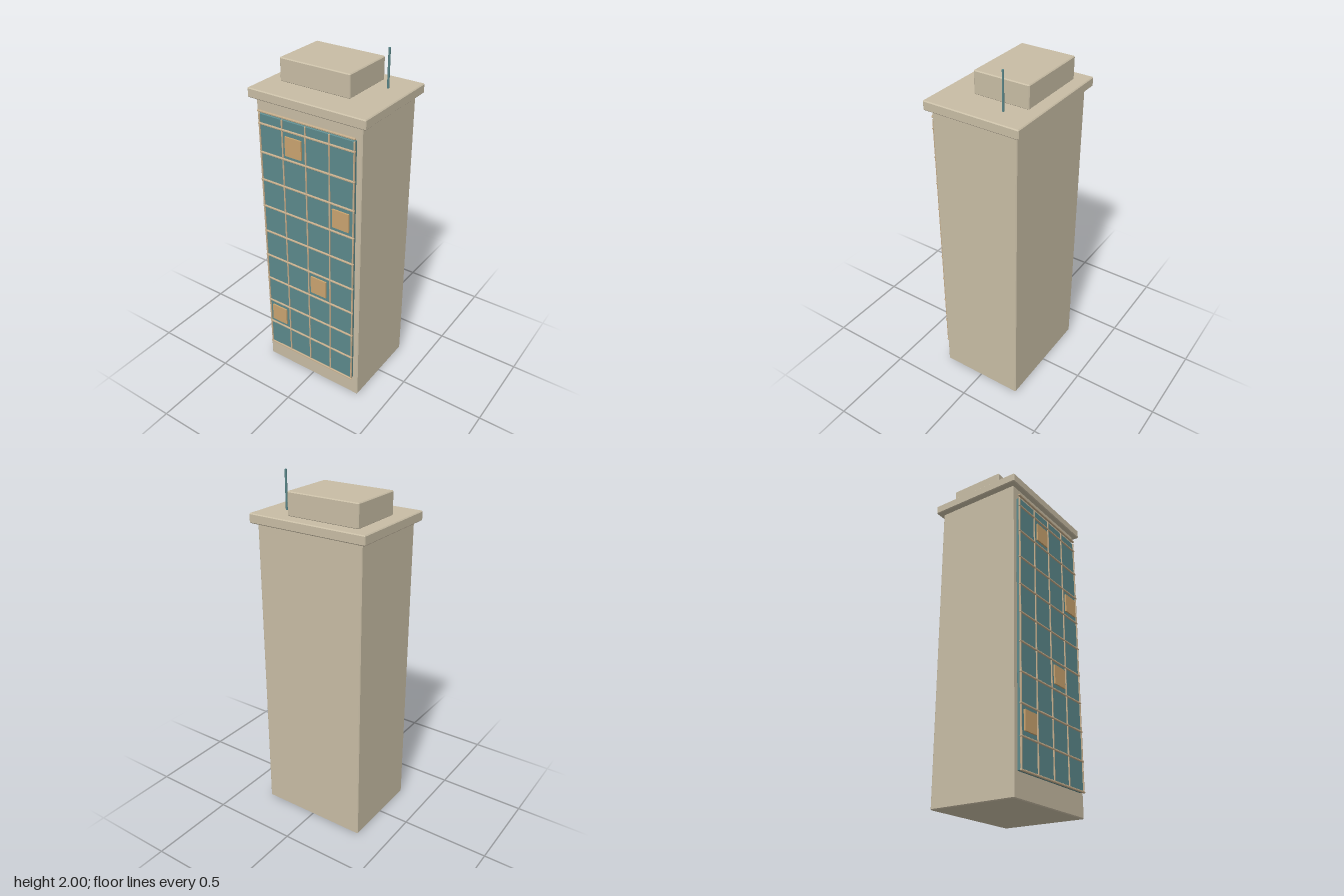
import * as THREE from 'three';
import { ConvexGeometry } from 'three/addons/geometries/ConvexGeometry.js';

function material(name, color) {
  const m = new THREE.MeshStandardMaterial({ color });
  m.name = name;
  return m;
}

// Box between two corners with a small chamfer on every edge
function chamferBox([x0, y0, z0], [x1, y1, z1], c) {
  const half = [(x1 - x0) / 2, (y1 - y0) / 2, (z1 - z0) / 2];
  const points = [];
  for (const sx of [-1, 1]) for (const sy of [-1, 1]) for (const sz of [-1, 1]) {
    for (let axis = 0; axis < 3; axis++) {
      const p = half.map((h, i) => (i === axis ? h : h - c));
      points.push(new THREE.Vector3(sx * p[0], sy * p[1], sz * p[2]));
    }
  }
  return new ConvexGeometry(points).translate((x0 + x1) / 2, (y0 + y1) / 2, (z0 + z1) / 2);
}

export function createModel() {
  const stone = material('stone', 0xc7bca4);
  const glass = material('teal glass', 0x5b888b);
  const frame = material('frame tan', 0xc6ae8c);
  const lit = material('lit window', 0xc9a36f);

  const model = new THREE.Group();
  model.name = 'officeTower';
  const add = (name, geometry, mat, parent = model) => {
    const mesh = new THREE.Mesh(geometry, mat);
    mesh.name = name;
    parent.add(mesh);
    return mesh;
  };

  // Main masses
  add('towerBody', chamferBox([-0.322, 0, -0.253], [0.322, 1.738, 0.248], 0.005), stone);
  add('roofSlab', chamferBox([-0.355, 1.737, -0.282], [0.355, 1.79, 0.276], 0.005), stone);
  add('roofHouse', chamferBox([-0.273, 1.788, -0.212], [0.157, 1.916, 0.11], 0.005), stone);

  // Roof mast
  const mast = add('antenna', new THREE.CylinderGeometry(0.006, 0.006, 0.212, 6), glass);
  mast.position.set(0.235, 1.894, -0.118);

  // Glass front
  const facade = new THREE.Group();
  facade.name = 'glassFacade';
  model.add(facade);
  add('glassPanel', chamferBox([-0.292, 0.13, 0.246], [0.292, 1.664, 0.268], 0.003), glass, facade);

  // Horizontal bars at each floor, with one extra at the head
  const heights = Array.from({ length: 10 }, (_, i) => 0.132 + i * 0.1642);
  heights.push(1.678);
  for (const y of heights) {
    add('floorBar', chamferBox([-0.298, y - 0.005, 0.264], [0.298, y + 0.005, 0.276], 0.002), frame, facade);
  }

  // Vertical bars
  for (let i = -2; i <= 2; i++) {
    const x = i * 0.1455;
    add('mullion', chamferBox([x - 0.004, 0.13, 0.264], [x + 0.004, 1.664, 0.274], 0.002), frame, facade);
  }

  // Lit windows
  for (const [x, y] of [[-0.218, 0.38], [-0.073, 1.526], [0.071, 0.71], [0.217, 1.2]]) {
    const pane = add('litWindow', new THREE.BoxGeometry(0.102, 0.108, 0.009), lit, facade);
    pane.position.set(x, y, 0.2745);
  }
  return model;
}
